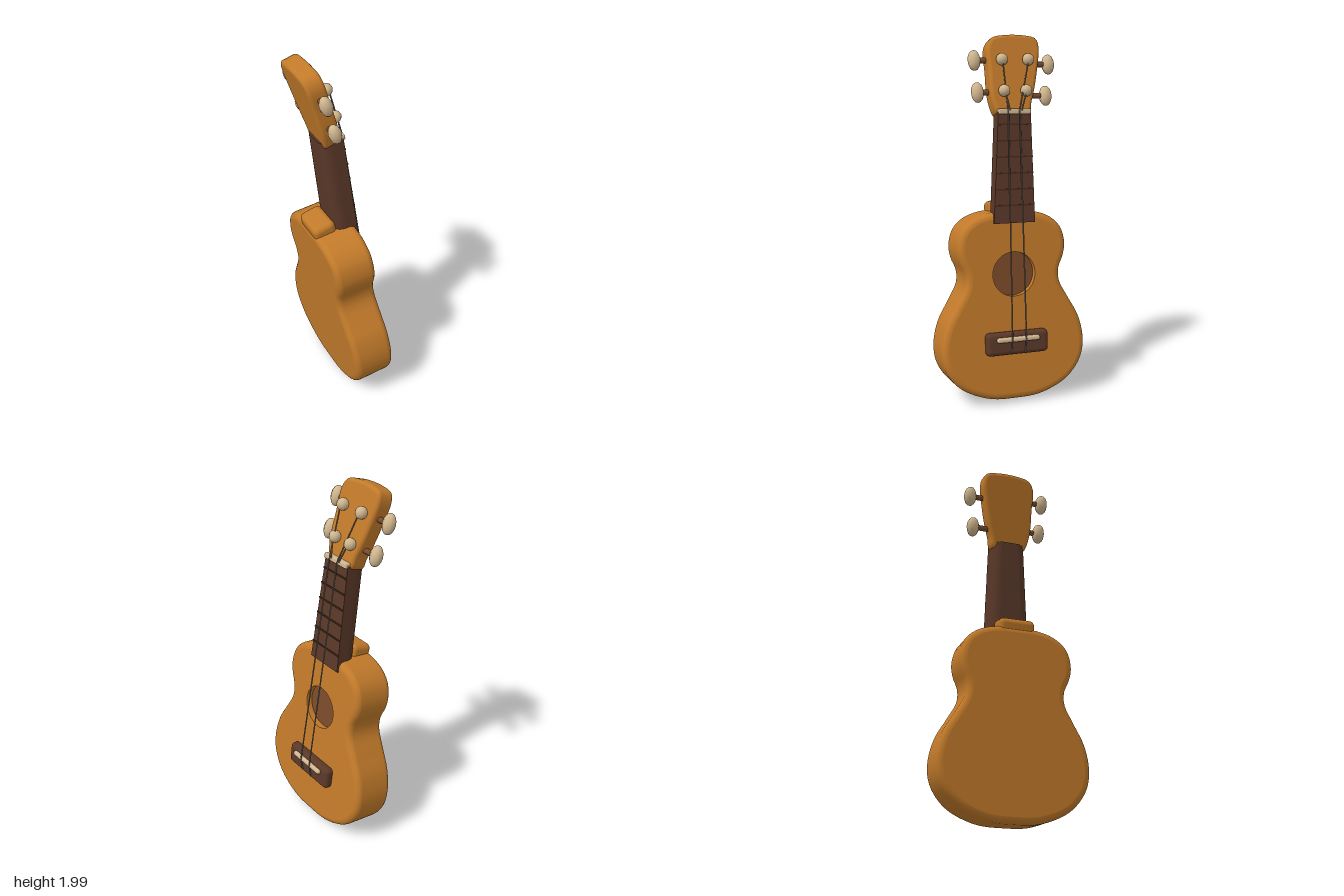
import * as THREE from 'three';
import { mergeGeometries } from 'three/addons/utils/BufferGeometryUtils.js';
import { RoundedBoxGeometry } from 'three/addons/geometries/RoundedBoxGeometry.js';

const material = (name, color, extra = {}) => Object.assign(new THREE.MeshStandardMaterial({ color, ...extra }), { name });

// Smooth closed outline (counter-clockwise) through a few points
function outline(points, count) {
  const curve = new THREE.CatmullRomCurve3(points.map(([x, y]) => new THREE.Vector3(x, y, 0)), true);
  return curve.getSpacedPoints(count).slice(0, count).map(p => new THREE.Vector2(p.x, p.y));
}

// Slab with rounded rims: lofted side wall plus two caps, the front one with an optional round hole
function slab(pts, z0, z1, r, hole) {
  const n = pts.length, steps = 5, rings = [], pos = [], index = [];
  const normals = pts.map((p, i) => {
    const t = pts[(i + 1) % n].clone().sub(pts[(i + n - 1) % n]).normalize();
    return new THREE.Vector2(t.y, -t.x);
  });
  for (let k = 0; k <= steps; k++) {
    const a = k / steps * Math.PI / 2;
    rings.push([r * (1 - Math.sin(a)), z0 + r * (1 - Math.cos(a))]);
  }
  for (let k = steps; k >= 0; k--) rings.push([rings[k][0], z1 - (rings[k][1] - z0)]);
  for (const [inset, z] of rings) pts.forEach((p, i) => pos.push(p.x - normals[i].x * inset, p.y - normals[i].y * inset, z));
  for (let k = 0; k < rings.length - 1; k++) for (let i = 0; i < n; i++) {
    const a = k * n + i, b = k * n + (i + 1) % n;
    index.push(a, b, b + n, a, b + n, a + n);
  }
  const wall = new THREE.BufferGeometry();
  wall.setAttribute('position', new THREE.Float32BufferAttribute(pos, 3));
  wall.setIndex(index);
  wall.computeVertexNormals();

  const capPts = pts.map((p, i) => p.clone().addScaledVector(normals[i], -r));
  const back = new THREE.ShapeGeometry(new THREE.Shape(capPts)).translate(0, 0, z0);
  back.setIndex(Array.from(back.index.array).reverse());
  back.computeVertexNormals();
  const face = new THREE.Shape(capPts);
  if (hole) face.holes.push(new THREE.Path().absarc(hole.x, hole.y, hole.r, 0, Math.PI * 2, true));
  const front = new THREE.ShapeGeometry(face, 24).translate(0, 0, z1);
  [back, front].forEach(g => g.deleteAttribute('uv'));
  return mergeGeometries([wall, back, front]);
}

export function createModel() {
  const wood = material('amber wood', 0xc27a2a);
  const rim = material('amber wood', 0xc27a2a, { side: THREE.DoubleSide });
  const dark = material('dark brown wood', 0x5a3828);
  const fretMat = material('fret brown', 0x432a20);
  const inside = material('sound hole brown', 0x7a4a2a);
  const cream = material('cream', 0xd2b78f);
  const stringMat = material('string grey', 0x7a6f62);

  const root = new THREE.Group();
  root.name = 'ukulele';
  const uke = new THREE.Group();
  uke.name = 'leaningInstrument';
  uke.rotation.set(-0.115, Math.PI / 2 - 0.05, -0.015, 'YXZ');
  uke.position.set(0.075, 0.015, 0);
  root.add(uke);

  const add = (name, geometry, mat, x = 0, y = 0, z = 0, parent = uke) => {
    const m = new THREE.Mesh(geometry, mat);
    m.name = name;
    m.position.set(x, y, z);
    parent.add(m);
    return m;
  };
  const rod = (name, a, b, r, mat, parent = uke) => {
    const A = new THREE.Vector3(...a), B = new THREE.Vector3(...b), d = B.clone().sub(A);
    const m = add(name, new THREE.CylinderGeometry(r, r, d.length(), 8), mat, 0, 0, 0, parent);
    m.position.copy(A).add(B).multiplyScalar(0.5);
    m.quaternion.setFromUnitVectors(new THREE.Vector3(0, 1, 0), d.normalize());
  };

  // Body: half outline mirrored into a figure-eight
  const half = [[0.15, 0.008], [0.31, 0.08], [0.395, 0.19], [0.413, 0.3], [0.385, 0.43], [0.325, 0.54],
    [0.273, 0.64], [0.272, 0.71], [0.3, 0.78], [0.31, 0.85], [0.285, 0.94], [0.22, 1.0], [0.12, 1.032]];
  const mirrored = half.map(([x, y]) => [-x, y]).reverse();
  const hole = { x: 0.0, y: 0.695, r: 0.122 };
  add('body', slab(outline([[0, -0.003], ...half, [0, 1.036], ...mirrored], 120), -0.12, 0.115, 0.035, hole), wood);
  add('soundHoleRim', new THREE.CylinderGeometry(hole.r, hole.r, 0.035, 48, 1, true).rotateX(Math.PI / 2), rim, hole.x, hole.y, 0.0975);
  add('soundHoleFloor', new THREE.CircleGeometry(hole.r, 48), inside, hole.x, hole.y, 0.08);
  const heel = add('heel', new RoundedBoxGeometry(0.2, 0.13, 0.13, 4, 0.03), wood, 0.005, 1.025, -0.05);
  heel.rotation.x = -0.15;

  // Neck: rounded-back section, tapered and drifting slightly to one side
  const neckY0 = 0.975, neckY1 = 1.575, neckLen = neckY1 - neckY0;
  const section = new THREE.Shape();
  section.moveTo(-0.5, -0.125);
  section.lineTo(0.5, -0.125);
  section.lineTo(0.5, -0.06);
  section.bezierCurveTo(0.48, -0.015, 0.36, -0.002, 0.25, 0);
  section.lineTo(-0.25, 0);
  section.bezierCurveTo(-0.36, -0.002, -0.48, -0.015, -0.5, -0.06);
  const neck = new THREE.ExtrudeGeometry(section, { depth: neckLen, bevelEnabled: false, curveSegments: 8 });
  neck.rotateX(-Math.PI / 2);
  const p = neck.attributes.position;
  const width = t => 0.235 - 0.05 * t, drift = t => 0.007 + 0.014 * t;
  for (let i = 0; i < p.count; i++) {
    const t = p.getY(i) / neckLen;
    p.setX(i, p.getX(i) * width(t) + drift(t));
  }
  neck.computeVertexNormals();
  add('neck', neck, dark, 0, neckY0, 0);
  for (let i = 0; i < 6; i++) {
    const t = 0.16 + i * 0.145;
    add('fret', new THREE.BoxGeometry(width(t), 0.008, 0.01), fretMat, drift(t), neckY0 + t * neckLen, 0.125);
  }
  add('nut', new RoundedBoxGeometry(0.185, 0.03, 0.05, 2, 0.008), cream, 0.021, 1.575, 0.113);

  // Headstock, bent further back
  const head = new THREE.Group();
  head.name = 'headstock';
  head.position.set(0, 1.56, 0.115);
  head.rotation.x = -0.165;
  uke.add(head);
  const headPts = [[-0.065, 0], [0.02, -0.005], [0.115, 0], [0.13, 0.06], [0.155, 0.14], [0.185, 0.27], [0.2, 0.37],
    [0.185, 0.42], [0.12, 0.437], [0.0, 0.437], [-0.07, 0.42], [-0.1, 0.37], [-0.1, 0.25], [-0.1, 0.13], [-0.09, 0.06]];
  add('headPlate', slab(outline(headPts, 72), -0.1, 0, 0.02), wood, 0, 0, 0, head);

  // Tuning knobs on the sides: x, y and the x of the head edge
  for (const [x, y, edge] of [[-0.165, 0.305, -0.08], [-0.16, 0.13, -0.08], [0.26, 0.285, 0.17], [0.23, 0.11, 0.13]]) {
    rod('tuningShaft', [edge, y, -0.05], [x, y, -0.05], 0.016, inside, head);
    add('tuningKnob', new THREE.SphereGeometry(1, 10, 8).scale(0.036, 0.056, 0.034), cream, x, y, -0.05, head);
  }

  // Front pegs, with strings running to the nut
  const courses = [[-0.02, -0.04], [0.045, 0.04]];
  const pegs = [[-0.03, 0.295, 0], [-0.03, 0.125, 0], [0.12, 0.295, 1], [0.095, 0.125, 1]];
  for (const [x, y, c] of pegs) {
    add('stringPeg', new THREE.SphereGeometry(0.033, 10, 8), cream, x, y, 0.018, head);
    rod('headString', [x, y, 0.03], [courses[c][0] + (y < 0.2 ? 0.012 : 0), 0.015, 0.028], 0.004, stringMat, head);
  }

  // Bridge and saddle
  add('bridge', new RoundedBoxGeometry(0.355, 0.125, 0.06, 4, 0.024), dark, 0, 0.32, 0.13);
  add('saddle', new RoundedBoxGeometry(0.245, 0.028, 0.03, 3, 0.012), cream, 0, 0.345, 0.163);

  // Strings from nut over the saddle to the bridge
  for (const [top, bottom] of courses) {
    rod('string', [top, 1.575, 0.142], [bottom, 0.345, 0.179], 0.004, stringMat);
    rod('stringEnd', [bottom, 0.345, 0.179], [bottom, 0.27, 0.158], 0.004, stringMat);
  }
  return root;
}
